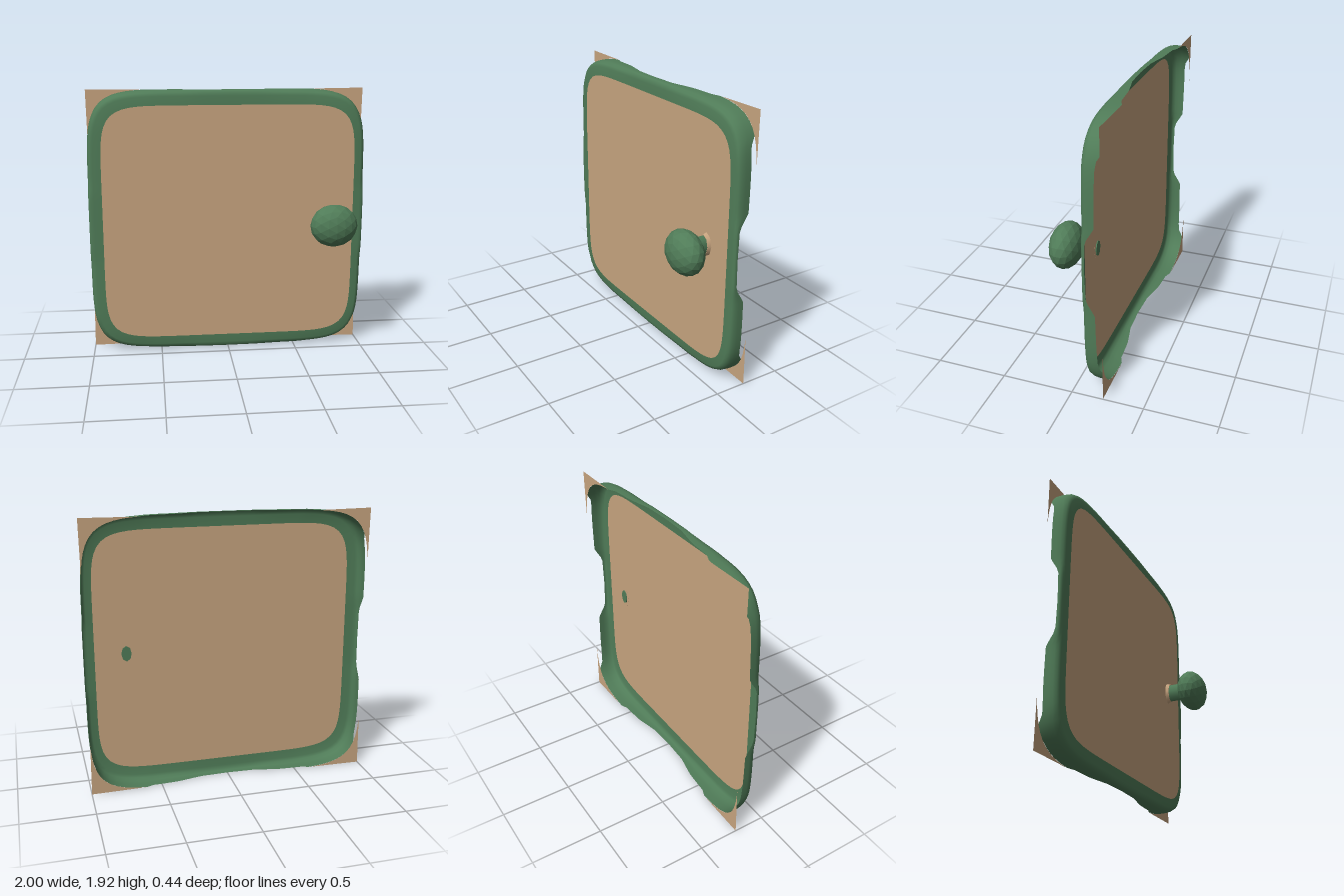
import * as THREE from 'three';

const FRONT = -0.085;
const BACK = -0.22;

// point on a rounded square (superellipse) at angle t
function outline(t, cx, cy, hx, hy, n) {
  const c = Math.cos(t), s = Math.sin(t);
  const r = Math.pow(Math.abs(c) ** n + Math.abs(s) ** n, -1 / n);
  return new THREE.Vector2(cx + hx * r * c, cy + hy * r * s);
}
const outer = (t) => outline(t, 0, 0.96, 1, 0.96, 7);
const inner = (t) => outline(t, 0.01, 0.958, 0.913, 0.857, 8);

// piecewise linear lookup in [position, value] pairs
function lookup(table, v) {
  for (let i = 1; i < table.length; i++) {
    const [a, za] = table[i - 1], [b, zb] = table[i];
    if (v <= b) return za + ((zb - za) * (v - a)) / (b - a);
  }
  return table[table.length - 1][1];
}
const topEdge = [[0, -0.138], [0.2, -0.145], [0.38, -0.183], [0.56, -0.195], [0.6, -0.217], [1, BACK]];
const sideEdge = [[0, -0.11], [0.22, -0.115], [0.32, -0.175], [0.76, -0.183], [0.81, BACK], [1, BACK]];

// rear edge of the rim: shallow mid-side, deep at the corners
function rearEdge(t) {
  const p = outer(t);
  const u = Math.abs(p.x), v = Math.abs(p.y - 0.96) / 0.96;
  return u > v ? lookup(sideEdge, v) : lookup(topEdge, u);
}

// rim: rings swept from the panel edge, over the rounded lip and back
function rimGeometry() {
  const N = 160;
  const profile = [[0, 0], [0.6, 0.04], [0.82, 0.12], [0.95, 0.32], [1, 0.6], [1, 1]];
  const positions = [], index = [];
  for (const [out, back] of profile) {
    for (let i = 0; i < N; i++) {
      const t = (i / N) * Math.PI * 2;
      const p = inner(t).lerp(outer(t), out);
      positions.push(p.x, p.y, FRONT + (rearEdge(t) - FRONT) * back);
    }
  }
  for (let j = 0; j < profile.length - 1; j++) {
    for (let i = 0; i < N; i++) {
      const k = (i + 1) % N;
      const a = j * N + i, b = j * N + k, c = a + N, d = b + N;
      index.push(a, c, d, a, d, b);
    }
  }
  const g = new THREE.BufferGeometry();
  g.setAttribute('position', new THREE.Float32BufferAttribute(positions, 3));
  g.setIndex(index);
  g.computeVertexNormals();
  return g;
}

export function createModel() {
  const model = new THREE.Group();
  const tan = new THREE.MeshStandardMaterial({ color: 0xc8a580, side: THREE.DoubleSide });
  tan.name = 'tan';
  const green = new THREE.MeshStandardMaterial({ color: 0x507c58, side: THREE.DoubleSide });
  green.name = 'green';

  const add = (name, geometry, material, x = 0, y = 0, z = 0) => {
    const mesh = new THREE.Mesh(geometry, material);
    mesh.name = name;
    mesh.position.set(x, y, z);
    model.add(mesh);
    return mesh;
  };

  // door panel
  const edge = [];
  for (let i = 0; i < 160; i++) edge.push(inner((i / 160) * Math.PI * 2));
  add('panel', new THREE.ShapeGeometry(new THREE.Shape(edge)), tan, 0, 0, FRONT);

  add('rim', rimGeometry(), green);

  // flat corner flanges behind the rim
  for (let q = 0; q < 4; q++) {
    const mid = Math.PI / 4 + (q * Math.PI) / 2;
    const points = [];
    for (let i = 0; i <= 12; i++) points.push(outer(mid + (0.5 - i / 12) * 0.46));
    points.push(new THREE.Vector2(Math.sign(Math.cos(mid)), Math.sin(mid) > 0 ? 1.92 : 0));
    add('cornerFlange', new THREE.ShapeGeometry(new THREE.Shape(points)), tan, 0, 0, BACK);
  }

  // faceted knob
  const knob = new THREE.IcosahedronGeometry(1, 2);
  knob.scale(0.17, 0.154, 0.108);
  knob.computeVertexNormals();
  add('knob', knob, green, 0.738, 0.97, 0.11);

  // stem, its base collar and the socket seen behind the panel
  const cylinder = (r1, r2, h) =>
    new THREE.CylinderGeometry(r1, r2, h, 8).rotateX(Math.PI / 2).scale(0.65, 1, 1);
  add('stem', cylinder(0.07, 0.07, 0.12), green, 0.705, 0.965, -0.02);
  add('stemCollar', cylinder(0.074, 0.085, 0.025), tan, 0.705, 0.965, -0.073);
  add('socket', cylinder(0.055, 0.055, 0.008), green, 0.705, 0.965, FRONT - 0.003);

  return model;
}
